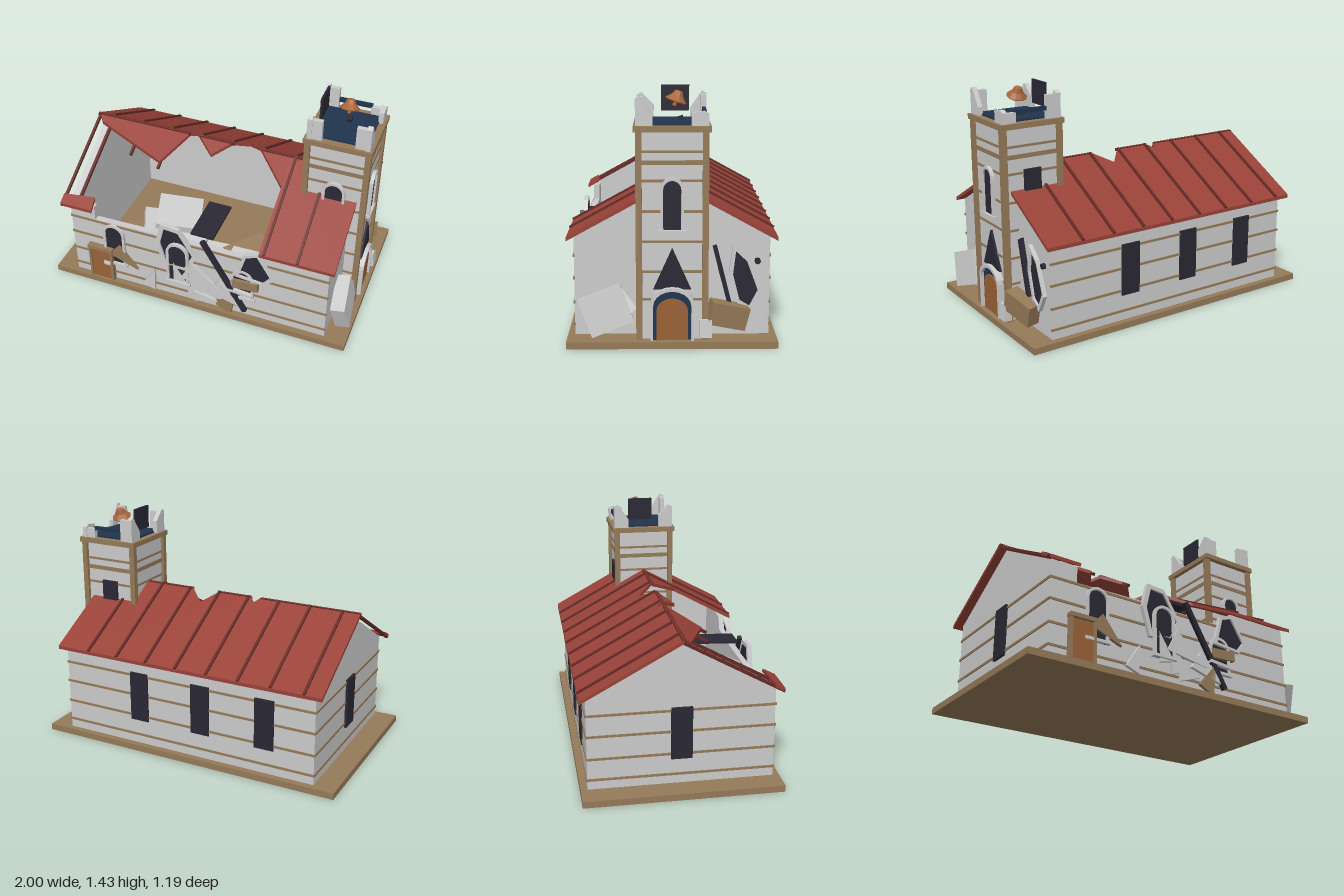
import * as THREE from 'three';

const mat = (color) => new THREE.MeshStandardMaterial({ color, flatShading: true, side: THREE.DoubleSide });
const STONE = mat(0xcccccc), WOOD = mat(0x957a58), ROOF = mat(0x994238), RIB = mat(0x642a25);
const GLASS = mat(0x2a2834), BLUE = mat(0x20344e), DOOR = mat(0x9a6238), BRONZE = mat(0xa8663a);

const RIDGE = 0.925, SLOPE = 0.55;
const roofY = (d) => RIDGE - SLOPE * d;

export function createModel() {
  const model = new THREE.Group();

  const add = (name, geometry, material, pos = [0, 0, 0], rot = [0, 0, 0], parent = model) => {
    const mesh = new THREE.Mesh(geometry, material);
    mesh.name = name;
    mesh.position.set(...pos);
    mesh.rotation.set(...rot);
    parent.add(mesh);
  };
  const box = (name, size, pos, material, rot, parent) =>
    add(name, new THREE.BoxGeometry(...size), material, pos, rot, parent);
  const poly = (pts) => new THREE.Shape(pts.map((p) => new THREE.Vector2(...p)));
  const plate = (shape, depth) =>
    new THREE.ExtrudeGeometry(shape, { depth, bevelEnabled: false, curveSegments: 5 });
  const group = (name, pos, ry = 0) => {
    const g = new THREE.Group();
    g.name = name;
    g.position.set(...pos);
    g.rotation.y = ry;
    model.add(g);
    return g;
  };
  // Arched outline standing on y0: half width w, top at h, arch rise r
  const arch = (w, h, r = w, y0 = 0) => {
    const s = new THREE.Shape();
    s.moveTo(-w, y0).lineTo(w, y0).lineTo(w, h - r);
    s.absellipse(0, h - r, w, r, 0, Math.PI, false);
    return s.lineTo(-w, y0);
  };
  const archWindow = (name, pos, ry, w, h) => {
    const g = group(name, pos, ry);
    const ring = arch(w, h);
    ring.holes.push(arch(w - 0.016, h - 0.016, w - 0.016, 0.016));
    add('windowFrame', plate(ring, 0.022), STONE, [0, 0, 0], [0, 0, 0], g);
    add('windowPane', plate(arch(w - 0.014, h - 0.014), 0.01), GLASS, [0, 0, 0], [0, 0, 0], g);
    box('windowSill', [w * 2 + 0.02, 0.018, 0.03], [0, 0.009, 0.012], STONE, [0, 0, 0], g);
  };
  // Jagged opening: dark pane inside a stone rim
  const brokenWindow = (pts, pos, ry) => {
    const g = group('brokenWindow', pos, ry);
    const inner = pts.map(([x, y]) => [x * 0.78, y * 0.84]);
    const rim = poly(pts);
    rim.holes.push(poly(inner));
    add('brokenRim', plate(rim, 0.03), STONE, [0, 0, 0], [0, 0, 0], g);
    add('brokenPane', plate(poly(inner), 0.018), GLASS, [0, 0, 0], [0, 0, 0], g);
  };

  // Base and nave walls
  box('base', [2, 0.04, 1.18], [0, 0.02, 0], WOOD);
  box('backWall', [1.72, 0.57, 0.04], [0, 0.325, -0.53], STONE);
  add('frontWall', plate(poly([[-0.86, 0.04], [0.86, 0.04], [0.86, 0.61], [0.43, 0.61], [0.4, 0.53],
    [0.24, 0.51], [-0.2, 0.52], [-0.69, 0.51], [-0.69, 0.61], [-0.86, 0.61]]), 0.04), STONE, [0, 0, 0.51]);
  const gable = poly([[-0.55, 0.04], [0.55, 0.04], [0.55, 0.605], [0, 0.91], [-0.55, 0.605]]);
  for (const x of [-0.82, 0.86]) add('gableWall', plate(gable, 0.04), STONE, [x, 0, 0], [0, -Math.PI / 2, 0]);
  for (const y of [0.1, 0.23, 0.37, 0.5]) {
    for (const z of [-0.551, 0.551]) box('wallBand', [1.73, 0.014, 0.01], [0, y, z], WOOD);
    box('wallBand', [0.01, 0.014, 1.1], [-0.861, y, 0], WOOD);
  }

  // Roof sheets: outline in (x, distance from ridge), laid on the slope
  const roofSheet = (name, pts, side) => {
    const g = plate(poly(pts), 0.022);
    const p = g.attributes.position;
    for (let i = 0; i < p.count; i++) {
      const d = p.getY(i);
      p.setXYZ(i, p.getX(i), roofY(d) + p.getZ(i) - 0.008, side * d);
    }
    g.computeVertexNormals();
    add(name, g, ROOF);
  };
  roofSheet('backRoof', [[-0.91, 0], [-0.25, 0], [-0.22, 0.04], [-0.18, 0], [0.04, 0], [0.13, 0.1],
    [0.24, 0], [0.9, 0], [0.9, 0.59], [-0.91, 0.59]], -1);
  roofSheet('frontRoof', [[0.43, 0], [0.9, 0], [0.9, 0.59], [0.43, 0.59]], 1);
  roofSheet('tornRoofEdge', [[-0.9, 0], [-0.25, 0], [-0.38, 0.21], [-0.86, 0.05]], 1);
  roofSheet('tornRoofEdge', [[-0.19, 0], [0.04, 0], [-0.07, 0.1]], 1);
  roofSheet('tornRoofEdge', [[0.23, 0], [0.43, 0], [0.43, 0.19]], 1);
  roofSheet('eaveFragment', [[-0.91, 0.53], [-0.7, 0.51], [-0.69, 0.59], [-0.91, 0.59]], 1);

  // Ribs and exposed rafters run down the slope from d0 to d1
  const tilt = Math.atan(SLOPE);
  const rib = (name, x, d0, d1, side, lift) => {
    const m = (d0 + d1) / 2;
    box(name, [0.016, 0.018, (d1 - d0) / Math.cos(tilt)], [x, roofY(m) + lift, side * m], RIB, [side * tilt, 0, 0]);
  };
  for (let i = 0; i < 8; i++) {
    const x = -0.8 + i * 0.21;
    rib('roofRib', x, 0.005, 0.59, -1, 0.016);
    if (x > 0.43) rib('roofRib', x, 0.005, 0.59, 1, 0.016);
  }
  for (const [x, end] of [[-0.9, 0.59], [-0.8, 0.54], [-0.59, 0.2], [-0.38, 0.24]]) rib('rafter', x, 0, end, 1, -0.006);
  for (const [x0, x1] of [[-0.91, -0.25], [-0.18, 0.05], [0.24, 0.57]])
    box('ridgeBeam', [x1 - x0, 0.016, 0.022], [(x0 + x1) / 2, 0.93, 0], RIB);

  // Nave windows
  for (const x of [-0.54, -0.11, 0.32]) box('backWindow', [0.125, 0.32, 0.02], [x, 0.36, -0.55], GLASS);
  box('endWindow', [0.02, 0.32, 0.125], [-0.865, 0.36, 0], GLASS);
  archWindow('frontWindow', [-0.56, 0.18, 0.548], 0, 0.075, 0.33);
  archWindow('frontWindow', [-0.11, 0.18, 0.565], 0, 0.075, 0.33);
  archWindow('frontWindow', [0.32, 0.18, 0.548], 0, 0.075, 0.24);
  brokenWindow([[-0.1, 0.17], [0.02, 0.16], [0.14, -0.03], [0.07, -0.16],
    [-0.09, -0.16], [-0.14, 0.02]], [-0.12, 0.46, 0.545], 0);
  brokenWindow([[-0.07, 0.1], [0.02, 0.13], [0.13, -0.04], [0.07, -0.11], [-0.13, -0.09]], [0.4, 0.46, 0.545], 0);
  brokenWindow([[-0.08, 0.19], [0, 0.12], [0.08, -0.08], [0.02, -0.19],
    [-0.05, -0.15], [-0.1, 0.03]], [0.855, 0.37, -0.42], Math.PI / 2);
  add('darkSliver', plate(poly([[0.24, 0.57], [0.36, 0.13], [0.32, 0.2], [0.26, 0.42]]), 0.03),
    GLASS, [0.855, 0, 0], [0, Math.PI / 2, 0]);
  add('wallVent', new THREE.CylinderGeometry(0.018, 0.018, 0.03, 8), GLASS, [0.865, 0.47, -0.48], [0, 0, Math.PI / 2]);

  // Side door in the front wall
  const side = group('sideDoor', [-0.66, 0.04, 0.55]);
  box('doorLeaf', [0.14, 0.24, 0.025], [0, 0.12, 0.012], DOOR, [0, 0, 0], side);
  for (const s of [-1, 1]) box('doorJamb', [0.016, 0.25, 0.036], [s * 0.076, 0.125, 0.018], WOOD, [0, 0, 0], side);
  box('doorLintel', [0.175, 0.024, 0.04], [0, 0.256, 0.02], WOOD, [0, 0, 0], side);
  box('doorHandle', [0.045, 0.014, 0.014], [0.045, 0.14, 0.03], STONE, [0, 0, 0], side);

  // Tower
  const TX = 0.76;
  box('towerWalls', [0.36, 1.17, 0.36], [TX, 0.625, 0], STONE);
  for (const sx of [-1, 1]) for (const sz of [-1, 1])
    box('towerPost', [0.035, 1.18, 0.035], [TX + sx * 0.183, 0.63, sz * 0.183], WOOD);
  for (const y of [0.27, 0.43, 0.6, 0.77, 0.94, 1.04, 1.1])
    box('towerBand', [0.37, y === 1.04 ? 0.026 : 0.014, 0.37], [TX, y, 0], WOOD);
  box('towerCornice', [0.415, 0.032, 0.425], [TX, 1.224, 0], WOOD);
  box('belfryFloor', [0.33, 0.012, 0.33], [TX, 1.245, 0], BLUE);
  archWindow('towerWindow', [TX + 0.184, 0.65, 0], Math.PI / 2, 0.065, 0.31);
  archWindow('towerWindow', [TX, 0.7, 0.184], 0, 0.07, 0.26);
  box('towerBackWindow', [0.11, 0.15, 0.02], [TX, 0.885, -0.185], GLASS);

  // Main door in the tower
  const main = group('mainDoor', [TX + 0.18, 0.03, 0], Math.PI / 2);
  const portal = arch(0.122, 0.315, 0.09);
  portal.holes.push(arch(0.106, 0.295, 0.085, 0.001));
  add('doorSurround', plate(portal, 0.04), STONE, [0, 0, 0], [0, 0, 0], main);
  add('doorArch', plate(arch(0.108, 0.297, 0.086), 0.02), BLUE, [0, 0, 0], [0, 0, 0], main);
  add('doorLeaf', plate(arch(0.088, 0.25, 0.07), 0.028), DOOR, [0, 0, 0], [0, 0, 0], main);
  box('doorStep', [0.25, 0.016, 0.055], [0, 0, 0.025], STONE, [0, 0, 0], main);
  add('doorGable', plate(poly([[-0.105, 0.3], [0.105, 0.3], [0, 0.535]]), 0.015), GLASS, [0, 0, 0], [0, 0, 0], main);

  // Broken belfry corners: a sloping plate along z and a flat one along x
  for (const [sx, sz, outer, inner] of [[1, 1, 0.16, 0.05], [1, -1, 0.08, 0.07], [-1, 1, 0.15, 0.08], [-1, -1, 0.16, 0.06]]) {
    const slope = poly([[0.2 * sz, 0], [0.2 * sz, outer - 0.015], [0.175 * sz, outer], [0.105 * sz, inner], [0.105 * sz, 0]]);
    add('belfryCorner', plate(slope, 0.03), STONE, [TX + sx * 0.175 + 0.015, 1.24, 0], [0, -Math.PI / 2, 0]);
    box('belfryCorner', [0.09, outer - 0.02, 0.03], [TX + sx * 0.145, 1.23 + outer / 2, sz * 0.18], STONE);
  }
  box('belfryBeam', [0.21, 0.025, 0.02], [TX, 1.302, -0.18], BLUE);
  box('belfryPanel', [0.012, 0.145, 0.16], [0.61, 1.362, -0.02], GLASS);
  box('bellBlock', [0.03, 0.025, 0.03], [TX, 1.262, -0.05], GLASS, [0.3, 0, 0]);
  const bell = [[0, 0.05], [0.022, 0.046], [0.034, 0.02], [0.062, -0.008], [0.058, -0.014], [0, 0]];
  add('bell', new THREE.LatheGeometry(bell.map((p) => new THREE.Vector2(...p)), 10), BRONZE, [TX, 1.368, -0.025], [-0.35, 0, 0]);
  add('bellClapper', new THREE.CylinderGeometry(0.008, 0.012, 0.04, 6), BRONZE, [TX, 1.35, -0.02], [-0.35, 0, 0]);

  // Fallen blocks beside the tower
  box('fallenBlock', [0.09, 0.22, 0.25], [0.92, 0.2, 0.37], STONE, [0.35, 0.12, 0.12]);
  box('fallenBlock', [0.08, 0.14, 0.07], [0.9, 0.24, 0.27], STONE, [0.6, 0.3, 0.2]);
  box('fallenBeam', [0.09, 0.13, 0.22], [0.92, 0.175, -0.31], WOOD, [-0.25, 0.2, 0]);
  box('fallenBlock', [0.05, 0.1, 0.07], [0.965, 0.11, -0.185], STONE, [0, 0, 0.1]);
  box('fallenPole', [0.025, 0.5, 0.025], [0.88, 0.32, -0.3], GLASS, [0.25, 0, 0]);

  // Tilted board on a leaning pole
  box('tiltedBoard', [0.15, 0.016, 0.31], [0.04, 0.59, 0.375], GLASS, [0.04, 0, 0]);
  box('leaningPole', [0.03, 0.57, 0.025], [0.2, 0.335, 0.57], GLASS, [0, 0, 0.52]);

  // Slabs heaped inside the nave
  box('woodBlock', [0.23, 0.2, 0.26], [-0.5, 0.22, 0.39], WOOD, [0.25, 0.25, 0.3]);
  box('woodPanel', [0.28, 0.03, 0.28], [0.24, 0.2, 0.2], WOOD, [0.2, 0.7, 0.1]);
  [[-0.33, 0.42, 0.33, 0.22], [-0.2, 0.53, 0.32, 0.28], [-0.14, 0.38, 0.36, 0.27], [0.04, 0.13, 0.3, 0.4],
    [0.28, 0.33, 0.42, 0.24]].forEach(([x, y, z, size], i) =>
    box('stoneSlab', [size, 0.05, size * 0.9], [x, y, z], STONE, [0.2, 0.4 - i * 0.12, -0.3 + i * 0.11]));

  // Splinters on the front wall: triangles given by centre, radius and turn
  const splinter = ([x, y, r, turn], i, material) => {
    const corners = [0, 2.5, 3.6].map((a) => [r * Math.cos(a + turn), r * Math.sin(a + turn)]);
    add('wallSplinter', plate(poly(corners), 0.02), material, [x, y, 0.552 + (i % 3) * 0.006]);
  };
  [[-0.3, 0.14, 0.09, 1.3], [-0.11, 0.25, 0.1, 1.9], [0.06, 0.25, 0.15, -0.4], [-0.02, 0.22, 0.12, 2],
    [0.22, 0.17, 0.13, -0.5], [0.07, 0.11, 0.08, 0.1]].forEach((s, i) => splinter(s, i, STONE));
  [[-0.49, 0.25, 0.11, -0.6], [0.24, 0.14, 0.11, 1.2]].forEach((s, i) => splinter(s, i, WOOD));
  box('brokenPlank', [0.17, 0.06, 0.04], [0.34, 0.31, 0.56], WOOD, [0, 0, 0.06]);
  box('brokenPlank', [0.16, 0.02, 0.04], [0.31, 0.24, 0.565], STONE, [0, 0, -0.1]);

  return model;
}
